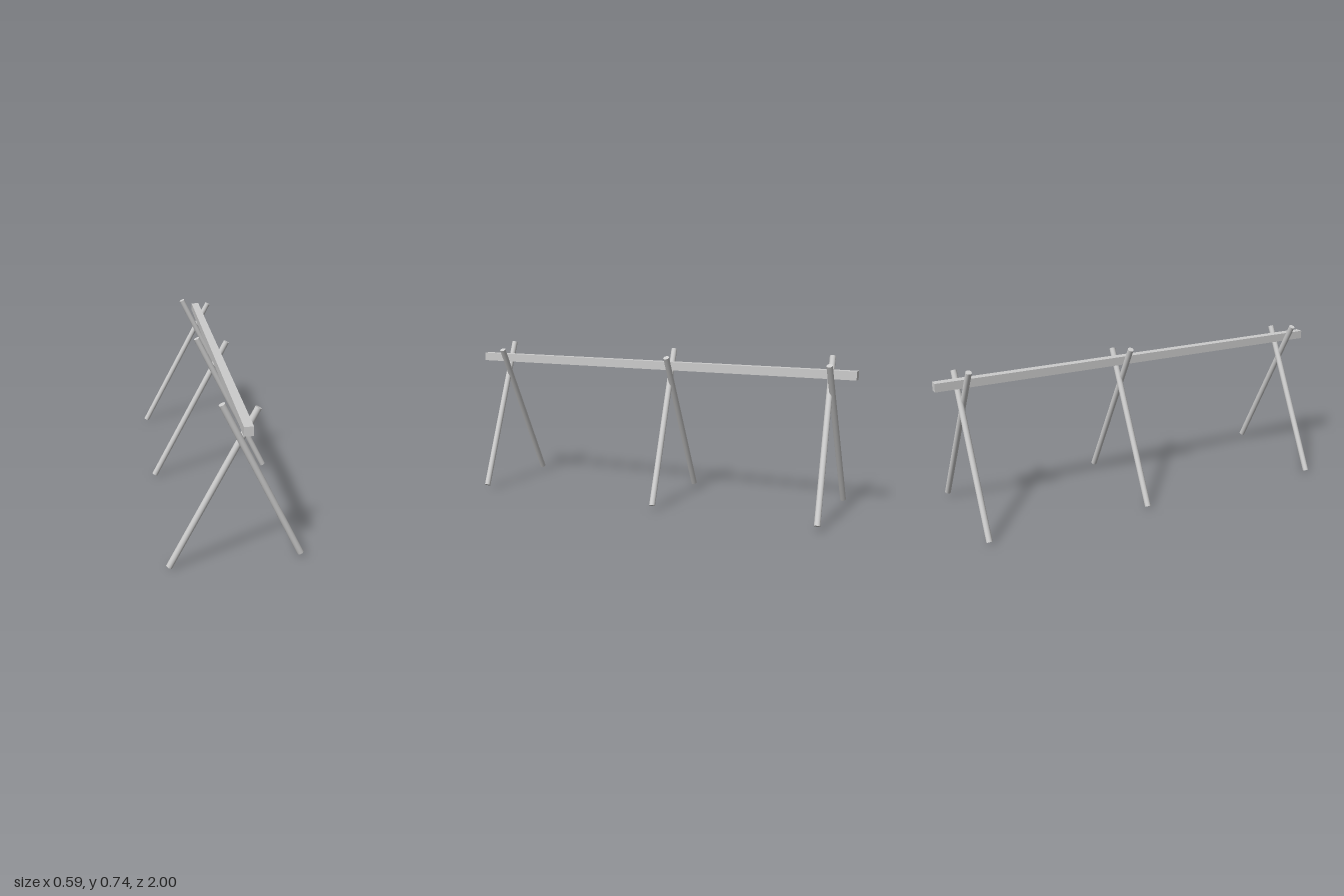
import * as THREE from 'three';

const material = new THREE.MeshStandardMaterial({ color: 0xcccccc });

// Round pole between two end points
function pole(name, foot, top, radius) {
  const a = new THREE.Vector3(...foot);
  const b = new THREE.Vector3(...top);
  const dir = b.clone().sub(a);
  const mesh = new THREE.Mesh(new THREE.CylinderGeometry(radius, radius, dir.length(), 32), material);
  mesh.name = name;
  mesh.position.copy(a).add(b).multiplyScalar(0.5);
  mesh.quaternion.setFromUnitVectors(new THREE.Vector3(0, 1, 0), dir.normalize());
  return mesh;
}

export function createModel() {
  const model = new THREE.Group();
  model.name = 'trestleRail';

  // Square beam resting in the forks of the crossed legs
  const beam = new THREE.Mesh(new THREE.BoxGeometry(0.04, 0.04, 2), material);
  beam.name = 'ridgeBeam';
  beam.position.set(0.0235, 0.665, 0);
  model.add(beam);

  // Three pairs of crossed legs, the left leg leaning slightly across the other
  [['front', 0.86], ['middle', -0.085], ['back', -0.884]].forEach(([place, z]) => {
    const pair = new THREE.Group();
    pair.name = place + 'LegPair';
    pair.position.z = z;
    pair.add(
      pole('rightLeg', [-0.2855, 0.0095, 0.002], [0.0855, 0.71, -0.003], 0.0142),
      pole('leftLeg', [0.2835, 0.027, -0.022], [-0.0665, 0.738, 0.022], 0.0142)
    );
    model.add(pair);
  });

  return model;
}
